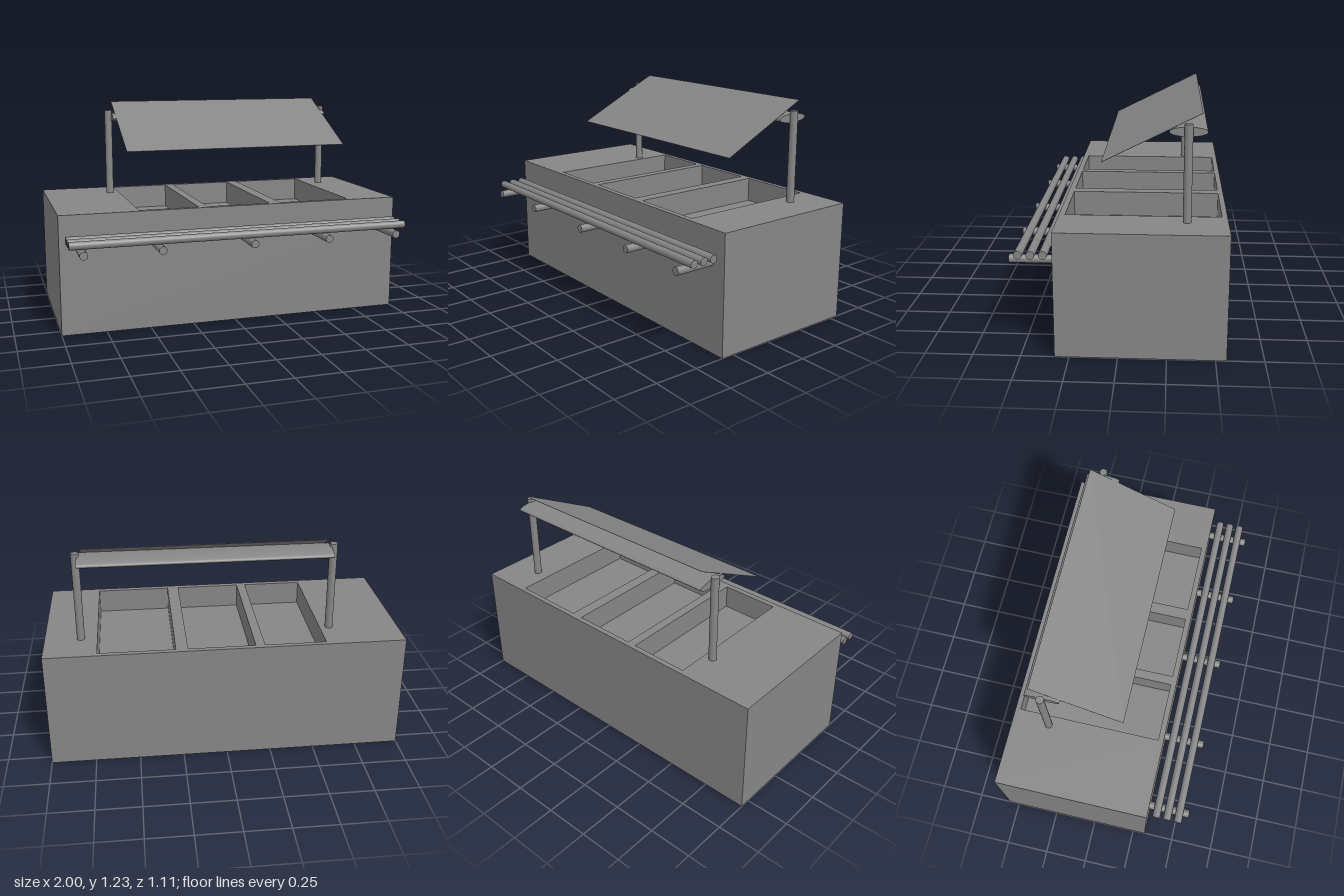
import * as THREE from 'three';

export function createModel() {
  const group = new THREE.Group();
  const darkGrey = new THREE.MeshStandardMaterial({ color: 0x868686 });

  const add = (name, geometry, x, y, z) => {
    const mesh = new THREE.Mesh(geometry, darkGrey);
    mesh.name = name;
    mesh.position.set(x, y, z);
    group.add(mesh);
    return mesh;
  };
  const rod = (radius, length) => new THREE.CylinderGeometry(radius, radius, length, 32);

  // Counter: solid base below, top section with three open wells
  const height = 0.673, wellDepth = 0.14, back = -0.557, front = 0.325;
  const baseHeight = height - wellDepth;
  add('counterBase', new THREE.BoxGeometry(2, baseHeight, front - back), 0, baseHeight / 2, (front + back) / 2);

  const rectangle = (path, x0, x1, z0, z1) => {
    path.moveTo(x0, -z1);
    path.lineTo(x1, -z1);
    path.lineTo(x1, -z0);
    path.lineTo(x0, -z0);
    path.closePath();
    return path;
  };
  const outline = rectangle(new THREE.Shape(), -1, 1, back, front);
  for (const [x0, x1] of [[-0.553, -0.21], [-0.158, 0.215], [0.282, 0.708]]) {
    outline.holes.push(rectangle(new THREE.Path(), x0, x1, -0.528, 0.293));
  }
  const topGeometry = new THREE.ExtrudeGeometry(outline, { depth: wellDepth, bevelEnabled: false });
  topGeometry.rotateX(-Math.PI / 2);
  add('counterTop', topGeometry, 0, baseHeight, 0);

  // Tray slide: three long rails on five short brackets
  for (const z of [0.375, 0.438, 0.501]) {
    add('trayRail', rod(0.022, 1.944), 0.004, 0.543, z).rotation.z = Math.PI / 2;
  }
  for (const x of [-0.897, -0.477, 0.04, 0.483, 0.9]) {
    add('railBracket', rod(0.0225, 0.233), x, 0.498, 0.4405).rotation.x = Math.PI / 2;
  }

  // Posts carrying the lamp and the guard
  const postZ = -0.345, postTop = 1.183;
  for (const x of [-0.606, 0.799]) {
    add('post', rod(0.022, postTop - height), x, (postTop + height) / 2, postZ);
  }

  // Lamp bar with a flat elliptical section
  const lamp = new THREE.CylinderGeometry(1, 1, 1.382, 48);
  lamp.rotateZ(Math.PI / 2).scale(1, 0.0245, 0.097);
  add('lampBar', lamp, 0.099, 1.141, postZ);

  // Thin sloping sneeze guard
  const rise = 1.231 - 0.975, run = 0.095 + 0.415;
  const guard = new THREE.BoxGeometry(1.346, 0.002, Math.hypot(rise, run));
  guard.rotateX(Math.atan2(rise, run));
  add('sneezeGuard', guard, 0.097, 1.103, -0.16);

  return group;
}
